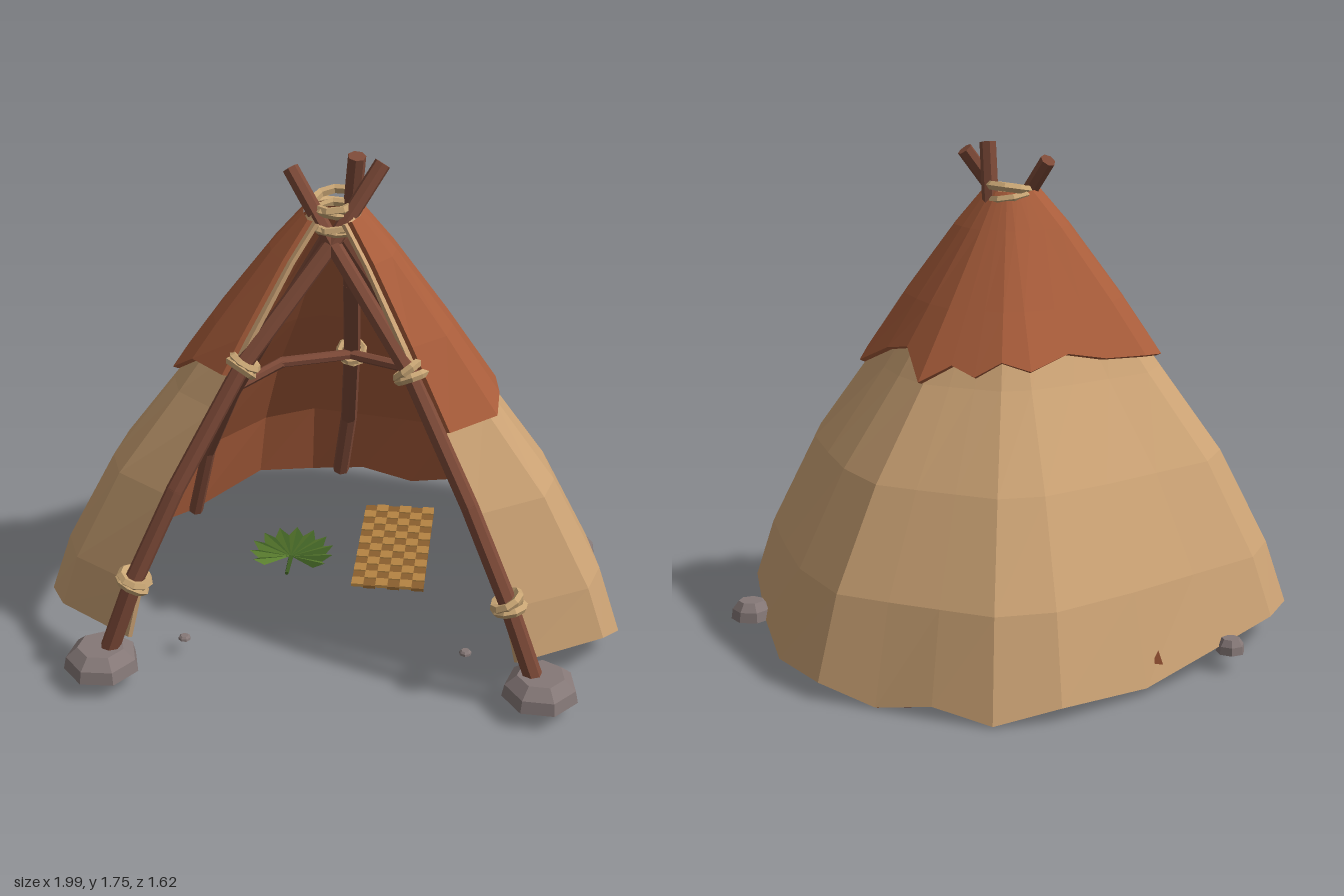
import * as THREE from 'three';

const mat = (name, color) => Object.assign(new THREE.MeshStandardMaterial({ color }), { name });
const M = {
  hide: mat('tan hide', 0xcba274),
  clay: mat('terracotta hide', 0xa95d3b),
  wood: mat('brown wood', 0x7d4a38),
  rope: mat('rope', 0xc8a574),
  stone: mat('grey stone', 0x857877),
  leaf: mat('leaf green', 0x5c8030),
  leafDark: mat('dark leaf green', 0x3d5c22),
  straw: mat('straw', 0xb58443),
  strawDark: mat('dark straw', 0x8a5f2e),
};
const V = (x, y, z) => new THREE.Vector3(x, y, z);
const lerp = THREE.MathUtils.lerp;

// faceted normals
function flat(g) {
  const f = g.index ? g.toNonIndexed() : g;
  f.computeVertexNormals();
  return f;
}
function add(parent, name, geo, material) {
  const m = new THREE.Mesh(flat(geo), material);
  m.name = name;
  parent.add(m);
  return m;
}
// surface over a list of u values and v values; faces u x v
function grid(us, vs, fn) {
  const pos = [];
  const quad = (a, b, c, d) => [a, b, c, a, c, d].forEach(p => pos.push(p.x, p.y, p.z));
  for (let i = 0; i < us.length - 1; i++)
    for (let j = 0; j < vs.length - 1; j++)
      quad(fn(us[i], vs[j]), fn(us[i + 1], vs[j]), fn(us[i + 1], vs[j + 1]), fn(us[i], vs[j + 1]));
  const g = new THREE.BufferGeometry();
  g.setAttribute('position', new THREE.Float32BufferAttribute(pos, 3));
  return g;
}

// ground outline of the cover, right front edge round the back to left front edge: x, z, hem height
const OUTLINE = [
  [.67, .64, .14], [.96, .48, .15], [1, .34, .09], [.95, .12, .13], [.80, -.17, .07], [.64, -.45, .03],
  [.41, -.70, .06], [.20, -.74, .01], [0, -.77, .045], [-.21, -.80, .01], [-.41, -.69, .05],
  [-.63, -.40, .03], [-.80, -.14, .08], [-.98, .13, .13], [-1, .34, .12], [-.94, .48, .15], [-.67, .64, .14],
];
const CAP_HEM = [.93, .94, .97, .95, 1.03, 1.06, .97, 1.03, 1.0, 1.05, 1.02, 1.06, 1.03, 1.02, 1.0, 1.08, 1.08];
const PROFILE = [[.1, 1], [.34, .92], [.67, .75], [.97, .53], [1.2, .37], [1.45, .18], [1.57, .07]];
const APEX_Z = .2;

function spread(y) {
  if (y <= PROFILE[0][0]) return 1;
  for (let i = 1; i < PROFILE.length; i++) {
    const [y0, f0] = PROFILE[i - 1], [y1, f1] = PROFILE[i];
    if (y <= y1) return lerp(f0, f1, (y - y0) / (y1 - y0));
  }
  return .07;
}
const sample = (list, u) => {
  const i = Math.min(Math.floor(u), list.length - 2);
  return lerp(list[i], list[i + 1], u - i);
};
const OX = OUTLINE.map(p => p[0]), OZ = OUTLINE.map(p => p[1] - APEX_Z), HEM = OUTLINE.map(p => p[2]);

// point on the cover at column u and height y, pushed outward by off
function coverPoint(u, y, off) {
  const dx = sample(OX, u), dz = sample(OZ, u), len = Math.hypot(dx, dz);
  const s = spread(y), f = Math.pow(s, 1 + .25 * Math.max(0, -dz));
  const bulge = .11 * Math.max(0, dz / .44) * (1 - s * s);
  const k = f + off / len;
  return V(dx * k, y + off * .4, APEX_Z + dz * k + bulge);
}

// thick shell: outside, inside and rims
function shell(parent, name, us, hem, levels, outer, inner, outMat, inMat) {
  const g = new THREE.Group();
  g.name = name;
  parent.add(g);
  const rows = [0, ...levels];
  const P = (u, r, off) => coverPoint(u, r === 0 ? sample(hem, u) : r, off);
  const back = [...us].reverse();
  add(g, name + 'Outside', grid(us, rows, (u, r) => P(u, r, outer)), outMat);
  add(g, name + 'Inside', grid(back, rows, (u, r) => P(u, r, inner)), inMat);
  add(g, name + 'Hem', grid(us, [inner, outer], (u, o) => P(u, 0, o)), inMat);
  add(g, name + 'RightEdge', grid([inner, outer], rows, (o, r) => P(us[0], r, o)), outMat);
  add(g, name + 'LeftEdge', grid([outer, inner], rows, (o, r) => P(back[0], r, o)), outMat);
}

// round pole through a list of points
function pole(parent, name, pts, r0, r1 = r0) {
  const g = new THREE.Group();
  g.name = name;
  parent.add(g);
  const n = pts.length - 1;
  for (let i = 0; i < n; i++) {
    const d = pts[i + 1].clone().sub(pts[i]), len = d.length();
    const geo = new THREE.CylinderGeometry(lerp(r0, r1, (i + 1) / n), lerp(r0, r1, i / n), len + .008, 7);
    const m = add(g, name + 'Section', geo, M.wood);
    m.position.copy(pts[i]).addScaledVector(d, .5);
    m.quaternion.setFromUnitVectors(V(0, 1, 0), d.normalize());
  }
}
// coils of rope round an axis
function lashing(parent, name, p, dir, r, thick, coils = 2) {
  const g = new THREE.Group();
  g.name = name;
  for (let i = 0; i < coils; i++) {
    const m = add(g, name + 'Coil', new THREE.TorusGeometry(r, thick, 5, 9), M.rope);
    m.position.z = (i - (coils - 1) / 2) * thick * 1.7;
    m.rotation.set(i ? .14 : -.1, i ? -.1 : .12, i);
  }
  g.position.copy(p);
  g.quaternion.setFromUnitVectors(V(0, 0, 1), dir.clone().normalize());
  parent.add(g);
}
function stone(parent, name, x, z, r, h, turn) {
  const pts = [[0, 0], [r, 0], [r * .93, h * .55], [r * .62, h], [0, h]].map(p => new THREE.Vector2(...p));
  const m = add(parent, name, new THREE.LatheGeometry(pts, 7), M.stone);
  m.position.set(x, .065, z);
  m.rotation.y = turn;
}

export function createModel() {
  const root = new THREE.Group();
  root.name = 'hideTent';

  // main cover and ragged cap over it
  const columns = OUTLINE.map((_, i) => i);
  shell(root, 'cover', columns, HEM, [.34, .67, .97, 1.2, 1.45, 1.57], 0, -.014, M.hide, M.clay);
  const capColumns = columns.map(i => i === 0 ? .07 : i === 16 ? 15.93 : i);
  shell(root, 'cap', capColumns, CAP_HEM, [1.2, 1.45, 1.575], .026, .008, M.clay, M.clay);
  const scrap = add(root, 'hideScrap', new THREE.ConeGeometry(.022, .045, 3), M.clay);
  scrap.position.set(-.655, .12, -.335);

  // bent front poles crossing at the top, with lashings and foot stones
  for (const s of [1, -1]) {
    const side = s > 0 ? 'left' : 'right';
    const pts = [[.73, .08, .70], [.62, .4, .68], [.48, .72, .61], [.27, 1.12, .47], [0, 1.48, .29]]
      .map(([x, y, z]) => V(s * x, y, z));
    pole(root, side + 'FrontPole', pts, .034, .028);
    pole(root, side + 'PoleTip', [pts[4], s > 0 ? V(-.145, 1.69, .19) : V(.15, 1.72, .19)], .028);
    lashing(root, side + 'LowerLashing', pts[1], pts[2].clone().sub(pts[0]), .047, .016);
    lashing(root, side + 'UpperLashing', pts[3], pts[4].clone().sub(pts[2]), .045, .015);
    stone(root, side + 'FootStone', s * .74, .70, .13, .08, s * .4);
    pole(root, side + 'BackPole',
      [V(s * .59, .1, -.27), V(s * .52, .4, -.2), V(s * .39, .74, -.04), V(s * .19, 1.15, .12), V(s * .03, 1.46, .2)], .027, .022);
  }

  // rear pole, curved crossbar and its tie
  pole(root, 'rearPole', [V(-.08, .08, -.67), V(-.04, .36, -.59), V(0, .79, -.32), V(.03, 1.2, -.02),
    V(.045, 1.5, .15), V(.07, 1.745, .2)], .032, .03);
  pole(root, 'crossbar', [V(-.43, .735, -.03), V(-.24, .79, -.19), V(0, .79, -.28), V(.24, .79, -.19), V(.43, .735, -.03)], .02);
  lashing(root, 'crossbarTie', V(0, .79, -.3), V(.08, .43, .27), .046, .012);

  // rope collar
  lashing(root, 'topCollar', V(0, 1.58, .2), V(0, 1, 0), .075, .016);
  lashing(root, 'frontCollar', V(0, 1.54, .235), V(0, 1, .12), .08, .014);

  // loose stones
  stone(root, 'leftStone', .85, -.17, .072, .065, .2);
  stone(root, 'rightStone', -.86, -.08, .05, .05, .7);
  stone(root, 'leftPebble', .48, .5, .022, .014, 0);
  stone(root, 'rightPebble', -.49, .52, .022, .014, .5);

  // pleated fan leaf on the ground
  const leaf = new THREE.Group();
  leaf.name = 'fanLeaf';
  leaf.position.set(-.19, .082, .0);
  root.add(leaf);
  const lobes = 11;
  const rim = (i, k) => {
    const a = -2.35 + 4.7 * (i + k) / lobes;
    const r = k === .5 ? .155 : .125;
    return [Math.sin(a) * r, k === .5 ? .018 : 0, -Math.cos(a) * r - .03];
  };
  for (const half of [0, 1]) {
    const pos = [];
    for (let i = 0; i < lobes; i++) {
      const a = rim(i, half ? .5 : 0), b = rim(i, half ? 1 : .5);
      pos.push(0, .008, 0, ...b, ...a);
      pos.push(0, 0, 0, a[0], a[1] - .006, a[2], b[0], b[1] - .006, b[2]);
    }
    const g = new THREE.BufferGeometry();
    g.setAttribute('position', new THREE.Float32BufferAttribute(pos, 3));
    add(leaf, half ? 'shadedPleats' : 'brightPleats', g, half ? M.leafDark : M.leaf);
  }
  const stem = add(leaf, 'stem', new THREE.CylinderGeometry(.007, .009, .11, 5), M.leafDark);
  stem.rotation.x = Math.PI / 2;
  stem.position.set(0, .004, .055);

  // woven mat in a checker of raised and lowered strips
  const mat0 = new THREE.Group();
  mat0.name = 'wovenMat';
  root.add(mat0);
  const nx = 6, nz = 12, w = .26 / nx, d = .55 / nz;
  for (let i = 0; i < nx; i++)
    for (let j = 0; j < nz; j++) {
      const up = (i + j) % 2;
      const m = add(mat0, 'weave', new THREE.BoxGeometry(w, .012, d), up ? M.straw : M.strawDark);
      m.position.set(.05 + (i + .5) * w, up ? .088 : .083, -.39 + (j + .5) * d);
    }
  return root;
}
